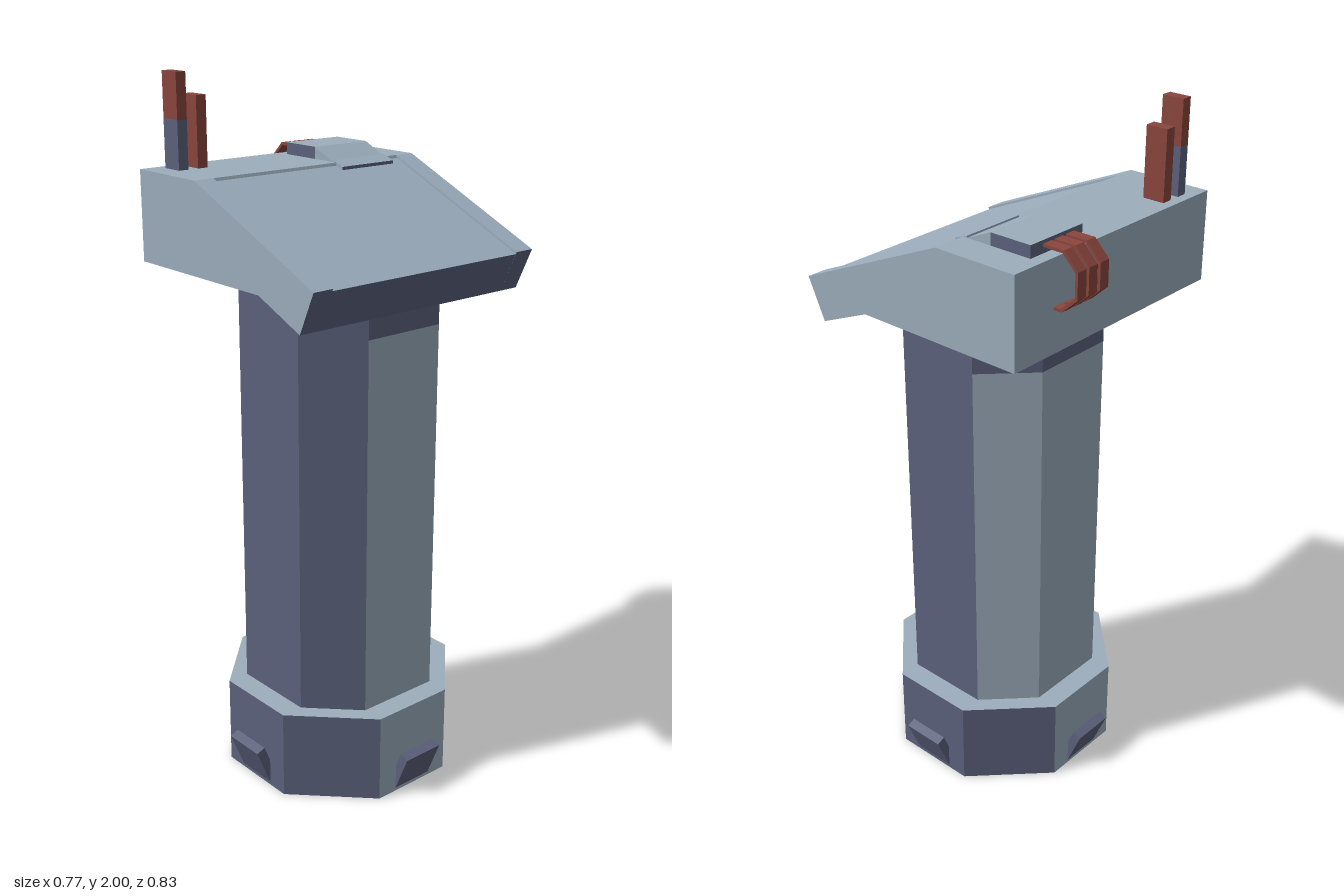
import * as THREE from 'three';

const mat = (name, color) => {
  const m = new THREE.MeshStandardMaterial({ color });
  m.name = name;
  return m;
};

export function createModel() {
  const light = mat('pale steel', 0x9cadbc);
  const blue = mat('slate blue', 0x5c617c);
  const red = mat('brick red', 0x8a463d);
  const mats = [light, blue, red];
  const [L, B, R] = [0, 1, 2];
  const model = new THREE.Group();

  // Prism over a counter-clockwise outline: one colour per side, plus start and end caps.
  // place maps (u, v, w) to a position.
  function prism(name, pts, a, b, place, sides, capA, capB, parent = model) {
    const faces = [[], [], []];
    const put = (c, list) => list.forEach(([p, w]) => faces[c].push(...place(p[0], p[1], w)));
    pts.forEach((p, i) => {
      const q = pts[(i + 1) % pts.length];
      const c = Array.isArray(sides) ? sides[i] : sides;
      put(c, [[p, a], [q, a], [q, b], [p, a], [q, b], [p, b]]);
    });
    const tris = THREE.ShapeUtils.triangulateShape(pts.map(p => new THREE.Vector2(...p)), []);
    for (const [i, j, k] of tris) {
      put(capB, [[pts[i], b], [pts[j], b], [pts[k], b]]);
      put(capA, [[pts[k], a], [pts[j], a], [pts[i], a]]);
    }
    const geo = new THREE.BufferGeometry();
    geo.setAttribute('position', new THREE.Float32BufferAttribute(faces.flat(), 3));
    let start = 0;
    faces.forEach((f, i) => {
      if (f.length) geo.addGroup(start, f.length / 3, i);
      start += f.length / 3;
    });
    geo.computeVertexNormals();
    const mesh = new THREE.Mesh(geo, mats);
    mesh.name = name;
    parent.add(mesh);
    return mesh;
  }
  const upright = (z, x, y) => [x, y, z];   // outline in (z, x), raised along y
  const across = (z, y, w) => [-w, y, z];   // outline in (z, y), spanning x

  function box(name, w, h, d, x, y, z, m, parent = model) {
    const mesh = new THREE.Mesh(new THREE.BoxGeometry(w, h, d), m);
    mesh.position.set(x, y, z);
    mesh.name = name;
    parent.add(mesh);
    return mesh;
  }

  // Eight-sided base and column; side 0 is the front, going round towards +x
  const CZ = 0.047, f = 0.127;
  const octagon = h => [[h, -f], [h, f], [f, h], [-f, h], [-h, f], [-h, -f], [-f, -h], [f, -h]]
    .map(([z, x]) => [z + CZ, x]);
  prism('base', octagon(0.322), 0, 0.26, upright, [L, B, B, B, L, B, B, B], B, L);
  prism('column', octagon(0.257), 0.26, 1.35, upright, [L, B, B, L, L, L, B, B], B, B);
  prism('collar', octagon(0.257), 1.35, 1.49, upright, B, B, B);

  // Four tilted feet around the base
  for (let i = 0; i < 4; i++) {
    const foot = new THREE.Group();
    foot.name = 'foot';
    foot.position.z = CZ;
    foot.rotation.y = i * Math.PI / 2;
    const plate = box('footPlate', 0.128, 0.126, 0.028, 0, 0.068, 0.331, blue, foot);
    plate.rotation.x = 0.39;
    model.add(foot);
  }

  // Slanted console head: raised side rails with a slightly sunken panel between
  const rail = [[0.341, 1.418], [0.394, 1.534], [-0.087, 1.741], [-0.341, 1.741], [-0.341, 1.487], [0.177, 1.487]];
  const core = [[0.341, 1.418], [0.391, 1.528], [-0.083, 1.733], [-0.087, 1.741], [-0.341, 1.741], [-0.341, 1.487], [0.177, 1.487]];
  prism('console', core, -0.325, 0.325, across, [B, L, L, L, L, B, B], L, L);
  for (const s of [-1, 1]) {
    const [a, b] = s < 0 ? [-0.386, -0.325] : [0.325, 0.386];
    prism('consoleSide', rail, a, b, across, [B, L, L, L, B, B], L, L);
  }

  // Hood on top of the console, with a wedge and a narrow lip in front
  const x0 = -0.288, x1 = -0.096;
  prism('hood', [[-0.178, 1.735], [-0.178, 1.775], [-0.305, 1.775], [-0.305, 1.735]],
    x0, x1, across, [L, L, B, B], B, B);
  prism('hoodWedge', [[-0.09, 1.736], [-0.178, 1.775], [-0.178, 1.736]], x0, x1, across, L, L, L);
  prism('hoodLip', [[-0.06, 1.722], [-0.06, 1.732], [-0.1, 1.746], [-0.1, 1.73]],
    x0, x1, across, [B, L, L, L], L, L);

  // Three bent strips running from the hood to the back of the console
  const outer = [[-0.3, 1.766], [-0.37, 1.766], [-0.414, 1.722], [-0.414, 1.65], [-0.366, 1.606], [-0.338, 1.606]];
  const inner = [[-0.338, 1.614], [-0.362, 1.614], [-0.406, 1.654], [-0.406, 1.718], [-0.366, 1.758], [-0.3, 1.758]];
  for (const x of [0.143, 0.186, 0.228]) {
    prism('backStrip', [...outer, ...inner], -x - 0.016, -x + 0.016, across, R, R, R);
  }

  // Two upright antennas
  box('tallAntennaFoot', 0.031, 0.14, 0.065, -0.307, 1.805, -0.28, blue);
  box('tallAntennaTip', 0.031, 0.125, 0.065, -0.307, 1.9375, -0.28, red);
  box('shortAntenna', 0.032, 0.2, 0.065, -0.244, 1.836, -0.28, red);

  return model;
}
